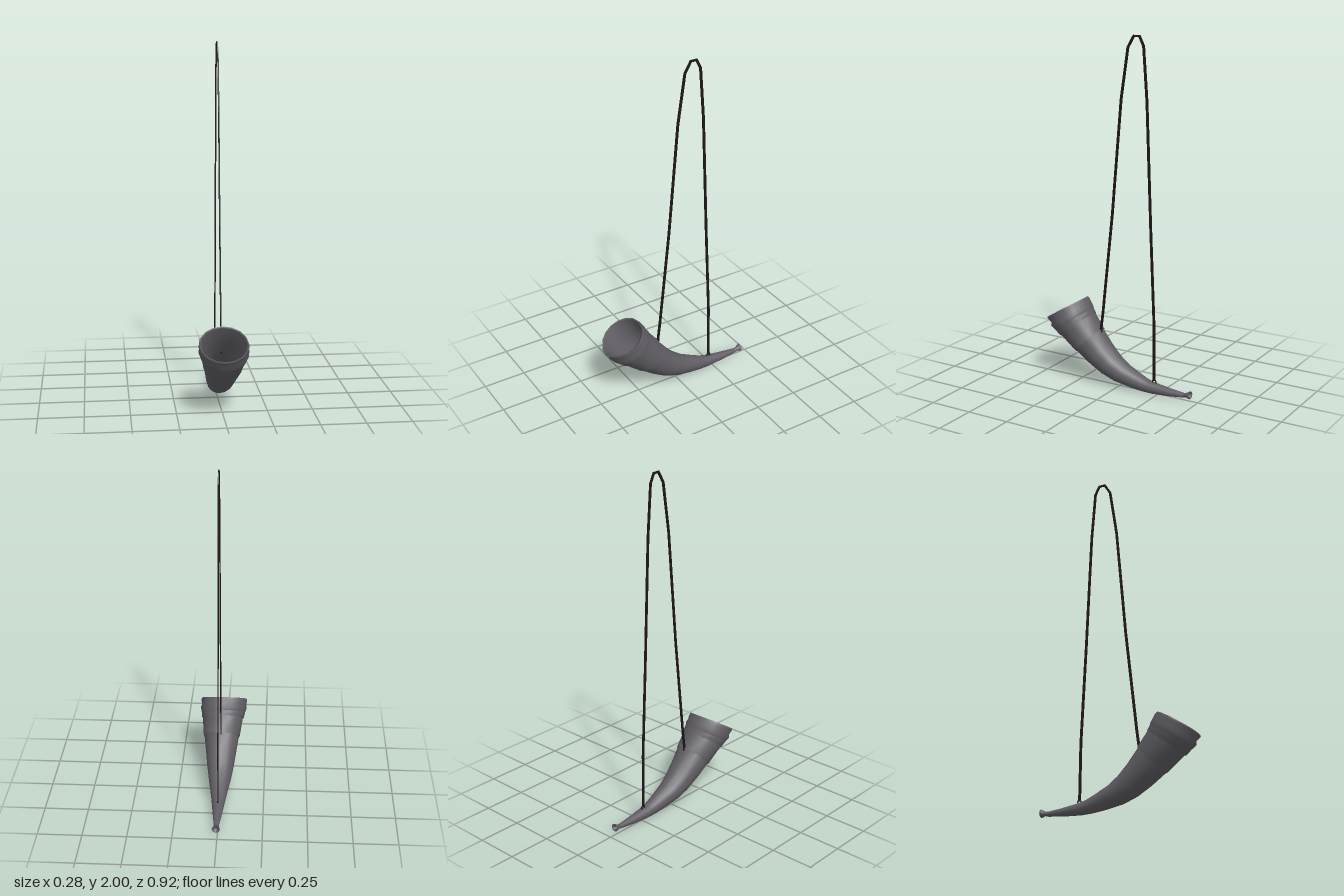
import * as THREE from 'three';

const hornMat = new THREE.MeshStandardMaterial({ color: 0x605e64 });
hornMat.name = 'dark horn';
const strapMat = new THREE.MeshStandardMaterial({ color: 0x1f1616 });
strapMat.name = 'dark leather';

const SIDES = 16;

// Each section: [bottom z, bottom y, top z, top y, centre x]
function loft(name, sections) {
  const pos = [], idx = [];
  for (const [bz, by, tz, ty, cx = 0.008] of sections) {
    const half = Math.hypot(tz - bz, ty - by) / 2;
    for (let j = 0; j < SIDES; j++) {
      const a = (j / SIDES) * Math.PI * 2, c = Math.cos(a) / 2;
      pos.push(
        cx + Math.sin(a) * half * 1.03,
        (by + ty) / 2 + c * (ty - by),
        (bz + tz) / 2 + c * (tz - bz));
    }
  }
  for (let i = 0; i < sections.length - 1; i++) {
    for (let j = 0; j < SIDES; j++) {
      const a = i * SIDES + j, b = i * SIDES + (j + 1) % SIDES;
      idx.push(a, a + SIDES, b, b, a + SIDES, b + SIDES);
    }
  }
  const g = new THREE.BufferGeometry();
  g.setAttribute('position', new THREE.Float32BufferAttribute(pos, 3));
  g.setIndex(idx);
  g.computeVertexNormals();
  const m = new THREE.Mesh(g, hornMat);
  m.name = name;
  return m;
}

// Flat strap following [z, y] points, extruded across x
function strap(points, width, thick, x) {
  const pts = points.map(([z, y]) => new THREE.Vector2(z, y));
  const left = [], right = [];
  pts.forEach((p, i) => {
    const d = pts[Math.min(i + 1, pts.length - 1)].clone().sub(pts[Math.max(i - 1, 0)]).normalize();
    const n = new THREE.Vector2(-d.y, d.x).multiplyScalar(width / 2);
    left.push(p.clone().add(n));
    right.unshift(p.clone().sub(n));
  });
  const g = new THREE.ExtrudeGeometry(new THREE.Shape([...left, ...right]), { depth: thick, bevelEnabled: false });
  g.rotateY(-Math.PI / 2); // shape x becomes z
  g.translate(x + thick / 2, 0, 0);
  const m = new THREE.Mesh(g, strapMat);
  m.name = 'strap';
  return m;
}

export function createModel() {
  const model = new THREE.Group();
  model.name = 'horn';

  // Flared mouthpiece with a hollow cup
  model.add(loft('mouthpiece', [
    [-0.437, 0.034, -0.437, 0.036],
    [-0.457, 0.023, -0.455, 0.057],
    [-0.459, 0.018, -0.457, 0.062],
    [-0.447, 0.019, -0.444, 0.056],
    [-0.434, 0.024, -0.432, 0.048],
    [-0.415, 0.018, -0.415, 0.045],
  ]));

  // Curved tapering body
  model.add(loft('body', [
    [-0.415, 0.018, -0.415, 0.045],
    [-0.33, 0.008, -0.33, 0.053],
    [-0.22, 0.001, -0.21, 0.069],
    [-0.16, 0.003, -0.165, 0.085],
    [-0.09, 0.011, -0.12, 0.105],
    [0.02, 0.031, -0.05, 0.138],
    [0.1, 0.062, 0.005, 0.178],
    [0.18, 0.11, 0.063, 0.236],
    [0.262, 0.17, 0.127, 0.314],
  ]));

  // Stepped bands around the bell
  model.add(loft('lowerBand', [
    [0.262, 0.17, 0.127, 0.314],
    [0.266, 0.168, 0.123, 0.317],
    [0.368, 0.25, 0.186, 0.395, 0.005],
  ]));
  model.add(loft('middleBand', [
    [0.368, 0.25, 0.186, 0.395, 0.005],
    [0.373, 0.248, 0.183, 0.397, 0.005],
    [0.41, 0.278, 0.2, 0.42, 0.003],
  ]));
  model.add(loft('rimBand', [
    [0.41, 0.278, 0.2, 0.42, 0.003],
    [0.436, 0.298, 0.206, 0.435, 0.002],
    [0.437, 0.318, 0.217, 0.45, 0],
    [0.461, 0.338, 0.231, 0.473, 0],
    [0.461, 0.346, 0.241, 0.484, 0],
  ]));

  // Hollow inside, running from the rim down the bore
  model.add(loft('bore', [
    [0.461, 0.346, 0.241, 0.484, 0],
    [0.45, 0.347, 0.248, 0.475, 0],
    [0.36, 0.26, 0.195, 0.39, 0.004],
    [0.255, 0.178, 0.134, 0.306],
    [0.1, 0.07, 0.01, 0.17],
    [-0.09, 0.019, -0.115, 0.097],
    [-0.22, 0.034, -0.22, 0.036],
  ]));

  // Hanging strap
  model.add(strap([
    [0.122, 0.315], [0.108, 0.42], [0.045, 1.0], [-0.012, 1.65],
    [-0.054, 1.93], [-0.09, 1.991], [-0.125, 1.991], [-0.15, 1.94],
    [-0.172, 1.65], [-0.2, 0.95], [-0.225, 0.4], [-0.228, 0.078],
  ], 0.014, 0.007, 0.008));

  // Rings holding the strap ends
  for (const [name, z, y] of [['frontRing', 0.126, 0.311], ['rearRing', -0.229, 0.072]]) {
    const ring = new THREE.Mesh(new THREE.TorusGeometry(0.011, 0.004, 6, 12), strapMat);
    ring.name = name;
    ring.rotation.y = Math.PI / 2;
    ring.position.set(0.008, y, z);
    model.add(ring);
  }
  return model;
}
